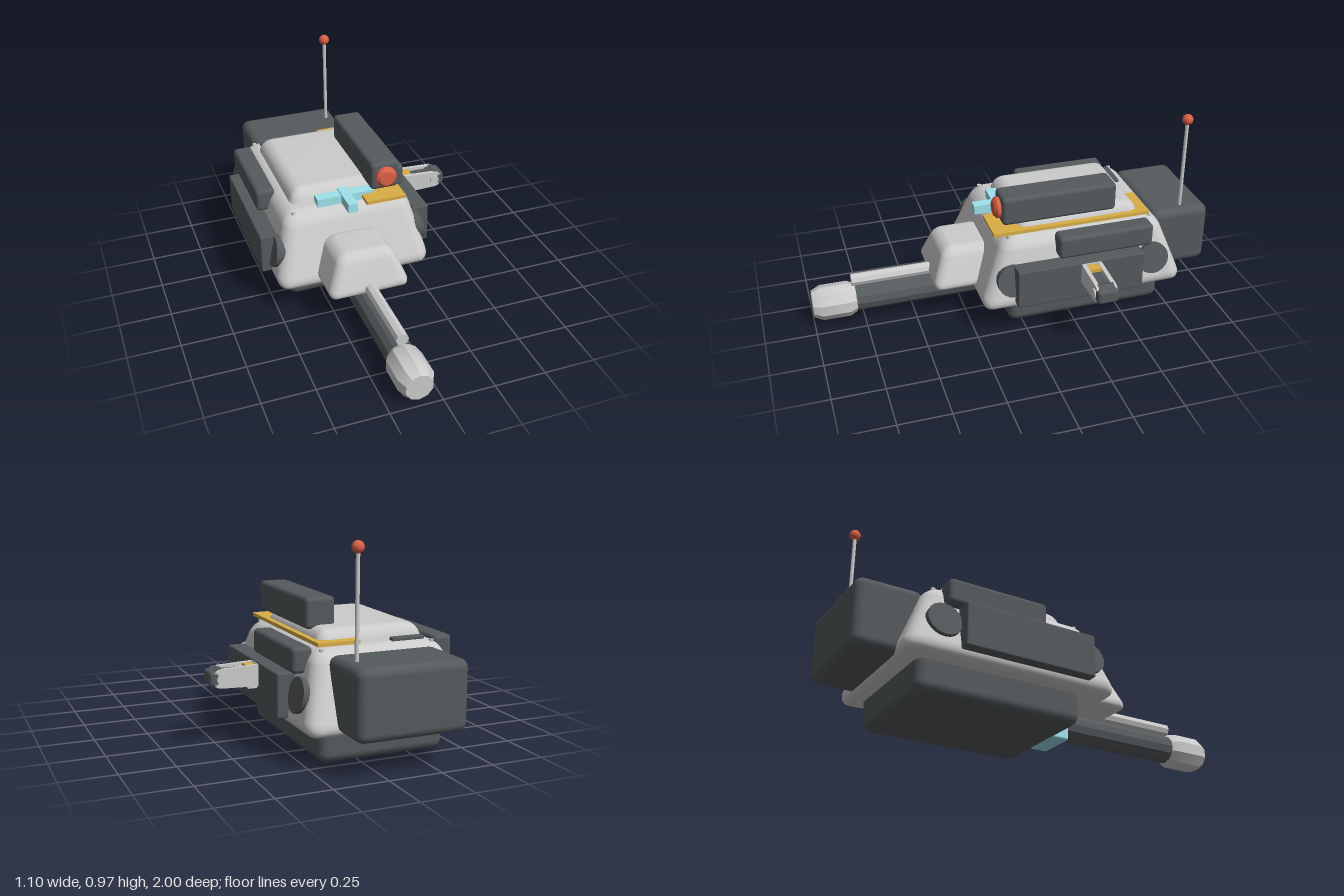
import * as THREE from 'three';
import { RoundedBoxGeometry } from 'three/addons/geometries/RoundedBoxGeometry.js';
import { mergeVertices, toCreasedNormals } from 'three/addons/utils/BufferGeometryUtils.js';

const mat = (color) => new THREE.MeshStandardMaterial({ color });
const grey = mat(0xcccccc), dark = mat(0x555a5d), cyan = mat(0x9fe3ec);
const gold = mat(0xd9ae45), red = mat(0xdb6048);
const CX = -0.115; // centre line of the turret

export function createModel() {
  const root = new THREE.Group();

  const add = (name, geometry, material, x = 0, y = 0, z = 0, parent = root) => {
    const mesh = new THREE.Mesh(geometry, material);
    mesh.name = name;
    mesh.position.set(x, y, z);
    parent.add(mesh);
    return mesh;
  };

  // Box given by its min/max extents, optionally rounded
  const box = (name, material, [x0, x1], [y0, y1], [z0, z1], r = 0, parent = root) => {
    const s = [x1 - x0, y1 - y0, z1 - z0];
    const g = r ? new RoundedBoxGeometry(...s, 3, r) : new THREE.BoxGeometry(...s);
    return add(name, g, material, (x0 + x1) / 2, (y0 + y1) / 2, (z0 + z1) / 2, parent);
  };

  // Rounded box whose rectangle narrows from bottom to top
  const taperedBox = (name, material, [y0, y1], bottom, top, r) => {
    let g = new RoundedBoxGeometry(1, y1 - y0, 1, 4, r);
    const p = g.attributes.position;
    const fit = (v, size, r2) => { // keep corner rounding while stretching the flats
      const a = Math.abs(v), flat = 0.5 - r;
      const out = a <= flat ? (a / flat) * (size / 2 - r2) : size / 2 - r2 + ((a - flat) / r) * r2;
      return Math.sign(v) * out;
    };
    for (let i = 0; i < p.count; i++) {
      const t = (p.getY(i) + (y1 - y0) / 2) / (y1 - y0);
      const [x0, x1, z0, z1] = bottom.map((b, k) => THREE.MathUtils.lerp(b, top[k], t));
      p.setXYZ(i, (x0 + x1) / 2 + fit(p.getX(i), x1 - x0, r), y0 + t * (y1 - y0),
        (z0 + z1) / 2 + fit(p.getZ(i), z1 - z0, r));
    }
    g.deleteAttribute('normal');
    g.deleteAttribute('uv');
    g = mergeVertices(g, 1e-4);
    g.computeVertexNormals();
    return add(name, g, material);
  };

  // Lathe profile [radius, z] turned around the z axis
  const turnedZ = (name, material, profile, sides, x, y, crease = 0.5) => {
    let g = new THREE.LatheGeometry(profile.map(([r, z]) => new THREE.Vector2(r, z)), sides);
    g.rotateX(Math.PI / 2);
    g = toCreasedNormals(g, crease);
    return add(name, g, material, x, y, 0);
  };

  // Hull and turret shell
  box('turretBase', dark, [-0.42, 0.185], [0.005, 0.2], [-0.73, 0.07], 0.045);
  box('frontBracket', cyan, [-0.215, -0.02], [0.01, 0.16], [0.03, 0.14], 0.01);
  taperedBox('turretShell', grey, [0.145, 0.5],
    [-0.515, 0.285, -0.83, 0.235], [-0.425, 0.195, -0.695, 0.095], 0.065);
  taperedBox('roofHatch', grey, [0.45, 0.565],
    [-0.39, 0.16, -0.63, 0.035], [-0.355, 0.125, -0.59, -0.01], 0.045);

  // Gun mantlet, barrel, muzzle and secondary barrel
  taperedBox('mantlet', grey, [0.185, 0.385],
    [-0.325, 0.095, 0.08, 0.425], [-0.245, 0.015, 0.12, 0.35], 0.045);
  turnedZ('barrel', dark, [[0, 0.05], [0.068, 0.05], [0.068, 0.82], [0, 0.82]], 12, CX, 0.11);
  turnedZ('muzzle', grey,
    [[0, 0.785], [0.07, 0.785], [0.088, 0.82], [0.088, 0.955], [0.066, 1], [0, 1]], 10, CX, 0.11);
  turnedZ('secondaryBarrel', grey,
    [[0, 0.3], [0.031, 0.3], [0.031, 0.8], [0, 0.8]], 8, CX, 0.215);

  // Side armour, mirrored about the turret centre line
  for (const s of [-1, 1]) {
    const side = s < 0 ? 'right' : 'left';
    const span = (a, b) => [CX + s * a, CX + s * b].sort((p, q) => p - q);
    box(side + 'UpperPod', dark, span(0.295, 0.39), [0.39, 0.505], [-0.637, -0.155], 0.02);
    box(side + 'ArmourPlate', dark, span(0.35, 0.435), [0.185, 0.385], [-0.575, 0.065], 0.008);
    for (const z of [-0.65, 0.07]) {
      const disc = add(side + 'SideDisc',
        toCreasedNormals(new THREE.CylinderGeometry(0.08, 0.08, 0.09, 20), 0.6),
        dark, CX + s * 0.337, 0.297, z);
      disc.rotation.z = Math.PI / 2 + s * 0.2;
    }
    // Small roof bolts
    for (const z of [0.065, -0.66]) {
      add('roofBolt', new THREE.CylinderGeometry(0.011, 0.011, 0.02, 10), grey,
        CX + s * 0.267, 0.488, z);
    }
  }

  // Rear stowage box with antenna
  box('rearStowage', dark, [-0.375, 0.142], [0.165, 0.48], [-1, -0.69], 0.04);
  add('antennaRod', new THREE.CylinderGeometry(0.009, 0.009, 0.47, 10), grey, 0.085, 0.705, -0.86);
  add('antennaTip', new THREE.SphereGeometry(0.027, 16, 12), red, 0.085, 0.95, -0.86);

  // Roof launcher and its lens
  box('launcher', dark, [0.005, 0.147], [0.545, 0.688], [-0.485, 0.09], 0.02);
  box('launcherMount', dark, [0.04, 0.11], [0.5, 0.56], [-0.4, -0.02]);
  turnedZ('launcherLens', red,
    [[0, 0.08], [0.052, 0.08], [0.052, 0.107], [0.037, 0.12], [0, 0.12]], 20, 0.076, 0.616);

  // Bracket-shaped roof trim
  const trim = new THREE.Shape([
    [-0.035, -0.14], [0.165, -0.14], [0.165, 0.655], [-0.035, 0.655],
    [-0.035, 0.595], [0.105, 0.595], [0.105, 0], [-0.035, 0],
  ].map(([x, y]) => new THREE.Vector2(x, y)));
  const trimGeo = new THREE.ExtrudeGeometry(trim, { depth: 0.017, bevelEnabled: false });
  trimGeo.rotateX(-Math.PI / 2);
  add('roofTrim', trimGeo, gold, 0, 0.504, 0);

  // Cross-shaped sight and rear vent
  box('sightCrossbar', cyan, [-0.26, 0.03], [0.493, 0.535], [0.01, 0.065]);
  box('sightBar', cyan, [-0.139, -0.091], [0.495, 0.542], [-0.015, 0.168]);
  box('roofVent', dark, [-0.357, -0.197], [0.485, 0.515], [-0.645, -0.613], 0.006);

  // Side arm: two cheeks around a dark barrel, with a wheel at the end
  const arm = new THREE.Group();
  arm.name = 'sideArm';
  root.add(arm);
  const cheek = new THREE.Shape();
  cheek.moveTo(0.27, 0.275);
  cheek.lineTo(0.49, 0.283);
  cheek.absarc(0.493, 0.326, 0.043, -Math.PI / 2, Math.PI / 2, false);
  cheek.lineTo(0.27, 0.379);
  for (const z of [-0.35, -0.27]) {
    add('armCheek', new THREE.ExtrudeGeometry(cheek,
      { depth: 0.02, bevelEnabled: false, curveSegments: 8 }), grey, 0, 0, z, arm);
  }
  box('armRoot', grey, [0.26, 0.325], [0.275, 0.378], [-0.345, -0.255], 0, arm);
  box('armFoot', grey, [0.3, 0.36], [0.262, 0.285], [-0.325, -0.275], 0, arm);
  box('armBand', gold, [0.322, 0.37], [0.29, 0.372], [-0.335, -0.265], 0, arm);
  box('armCore', dark, [0.37, 0.48], [0.29, 0.36], [-0.332, -0.268], 0.012, arm);
  const wheel = add('armWheel', new THREE.CylinderGeometry(0.047, 0.047, 0.076, 8), dark,
    0.5, 0.326, -0.3, arm);
  wheel.rotation.x = Math.PI / 2;
  wheel.geometry = toCreasedNormals(wheel.geometry, 0.5);
  box('armTip', dark, [0.5, 0.548], [0.29, 0.362], [-0.352, -0.248], 0.018, arm);
  for (const z of [-0.352, -0.248]) {
    const pin = add('armPin', new THREE.CylinderGeometry(0.024, 0.024, 0.012, 10), grey,
      0.493, 0.326, z, arm);
    pin.rotation.x = Math.PI / 2;
  }

  return root;
}
